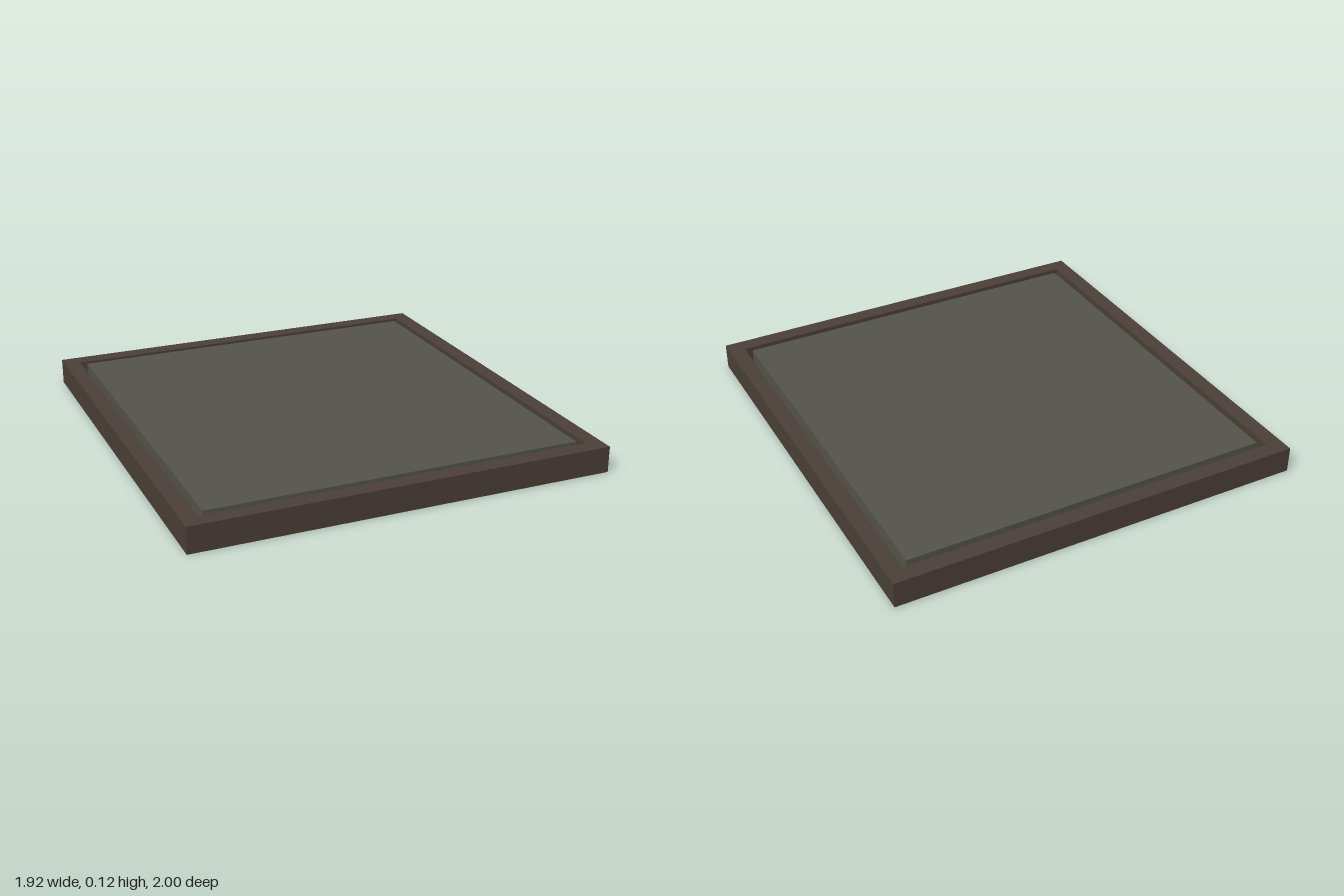
import * as THREE from 'three';

const HEIGHT = 0.12;

// Closed rectangle centred on the origin
function trace(path, halfX, halfZ) {
  path.moveTo(-halfX, -halfZ);
  path.lineTo(halfX, -halfZ);
  path.lineTo(halfX, halfZ);
  path.lineTo(-halfX, halfZ);
  path.closePath();
  return path;
}

export function createModel() {
  const model = new THREE.Group();
  model.name = 'framedPanel';

  // Rectangular border with an open middle
  const outline = trace(new THREE.Shape(), 0.96, 1);
  outline.holes.push(trace(new THREE.Path(), 0.887, 0.927));
  const frameGeometry = new THREE.ExtrudeGeometry(outline, { depth: HEIGHT, bevelEnabled: false });
  frameGeometry.rotateX(-Math.PI / 2);
  const frame = new THREE.Mesh(frameGeometry, new THREE.MeshStandardMaterial({ color: 0x4d4039 }));
  frame.name = 'frame';
  model.add(frame);

  // Inner slab, separated from the border by a narrow gap
  const panel = new THREE.Mesh(
    new THREE.BoxGeometry(1.714, HEIGHT, 1.79),
    new THREE.MeshStandardMaterial({ color: 0x55544c })
  );
  panel.position.y = HEIGHT / 2;
  panel.name = 'panel';
  model.add(panel);

  return model;
}
